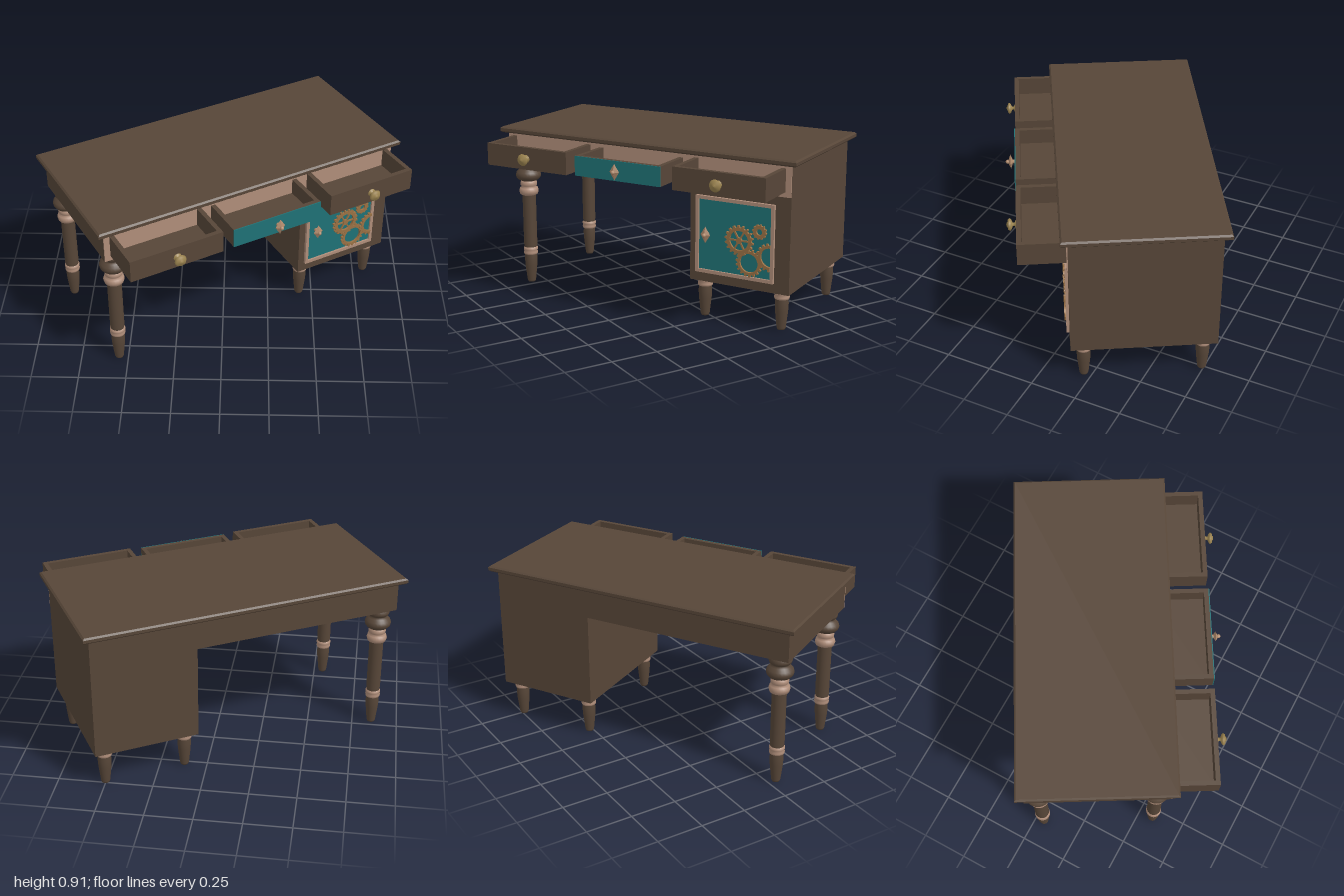
import * as THREE from 'three';

const mat = (name, color) => {
  const m = new THREE.MeshStandardMaterial({ color });
  m.name = name;
  return m;
};

export function createModel() {
  const wood = mat('dark wood', 0x574638);
  const trim = mat('rose trim', 0xb08e7a);
  const teal = mat('teal paint', 0x1f7276);
  const brass = mat('brass', 0x9c8450);
  const bronze = mat('bronze', 0x9a7145);
  const copper = mat('copper', 0xb08a6c);

  // The desk stands turned by 30 degrees; everything is built square inside it.
  const desk = new THREE.Group();
  desk.name = 'desk';
  desk.position.set(-0.025, 0, -0.078);
  desk.rotation.y = Math.PI / 6;

  const add = (parent, name, geo, material, x = 0, y = 0, z = 0) => {
    const m = new THREE.Mesh(geo, material);
    m.name = name;
    m.position.set(x, y, z);
    parent.add(m);
    return m;
  };
  // Box given by its limits on each axis
  const box = (parent, name, material, x0, x1, y0, y1, z0, z1) =>
    add(parent, name, new THREE.BoxGeometry(x1 - x0, y1 - y0, z1 - z0), material,
      (x0 + x1) / 2, (y0 + y1) / 2, (z0 + z1) / 2);
  const lathe = (pts) => new THREE.LatheGeometry(pts.map(p => new THREE.Vector2(...p)), 24);

  // Tabletop with a bevelled edge
  const hw = 0.879, hd = 0.402;
  const slab = new THREE.Shape([[-hw, -hd], [hw, -hd], [hw, hd], [-hw, hd]].map(p => new THREE.Vector2(...p)));
  const topGeo = new THREE.ExtrudeGeometry(slab, {
    depth: 0.016, bevelEnabled: true, bevelSize: 0.009, bevelThickness: 0.008, bevelSegments: 1,
  });
  topGeo.rotateX(-Math.PI / 2);
  add(desk, 'tabletop', topGeo, wood, 0, 0.89, 0);

  // Apron, cabinet and the trim behind the drawers
  box(desk, 'apron', wood, -0.852, 0.29, 0.72, 0.883, -0.375, 0.375);
  box(desk, 'cabinet', wood, 0.29, 0.852, 0.21, 0.883, -0.375, 0.375);
  box(desk, 'drawerSurround', trim, -0.852, 0.852, 0.72, 0.883, 0.375, 0.381);

  // Legs: the foot is shared, the tall legs add a turned shaft
  const foot = lathe([[0, 0], [0.02, 0], [0.024, 0.01], [0.034, 0.1], [0.036, 0.14], [0.033, 0.175]]);
  const ankle = lathe([[0.033, 0.165], [0.039, 0.168], [0.041, 0.178], [0.037, 0.186], [0.041, 0.194],
    [0.041, 0.204], [0.034, 0.212]]);
  const shaft = lathe([[0.034, 0.2], [0.038, 0.225], [0.038, 0.53]]);
  const rings = lathe([[0.037, 0.515], [0.05, 0.522], [0.055, 0.54], [0.05, 0.557], [0.039, 0.563],
    [0.046, 0.572], [0.047, 0.585], [0.043, 0.597], [0.036, 0.602]]);
  const bulb = lathe([[0.037, 0.598], [0.056, 0.606], [0.068, 0.62], [0.071, 0.634], [0.066, 0.65],
    [0.052, 0.664], [0.046, 0.67], [0.046, 0.677], [0.056, 0.684], [0.06, 0.697], [0.056, 0.71], [0.05, 0.722]]);
  const leg = (name, x, z, tall) => {
    const g = new THREE.Group();
    g.name = name;
    g.position.set(x, 0, z);
    add(g, 'foot', foot, wood);
    add(g, 'ankleRing', ankle, trim);
    if (tall) {
      add(g, 'shaft', shaft, wood);
      add(g, 'collarRings', rings, trim);
      add(g, 'bulb', bulb, wood);
    }
    desk.add(g);
  };
  for (const z of [-0.307, 0.307]) {
    leg('tableLeg', -0.782, z, true);
    leg('cabinetLeg', 0.346, z, false);
    leg('cabinetLeg', 0.786, z, false);
  }

  // Round pull and pointed pull, both facing +z
  const roundPull = lathe([[0.022, 0], [0.02, 0.006], [0.009, 0.01], [0.009, 0.02], [0.024, 0.026],
    [0.032, 0.034], [0.026, 0.043], [0.012, 0.046], [0.01, 0.05], [0, 0.052]]).rotateX(Math.PI / 2);
  const stem = new THREE.CylinderGeometry(0.008, 0.012, 0.03, 12).rotateX(Math.PI / 2);
  const diamond = new THREE.OctahedronGeometry(1).scale(0.028, 0.044, 0.016);
  const pointedPull = (name, x, y, z) => {
    const g = new THREE.Group();
    g.name = name;
    g.position.set(x, y, z);
    add(g, 'stem', stem, copper, 0, 0, 0.012);
    add(g, 'diamond', diamond, copper, 0, 0, 0.024);
    add(g, 'stud', new THREE.SphereGeometry(0.011, 12, 8), copper, 0, 0, 0.04);
    desk.add(g);
  };

  // Three open drawers
  const drawer = (name, x, y0, y1) => {
    const g = new THREE.Group();
    g.name = name;
    const a = x - 0.253, b = x + 0.253, t = 0.024, back = 0.33, front = 0.616;
    box(g, 'drawerFloor', wood, a + t, b - t, y0, y0 + 0.02, back, front - t);
    box(g, 'drawerSide', wood, a, a + t, y0, y1, back, front - t);
    box(g, 'drawerSide', wood, b - t, b, y0, y1, back, front - t);
    box(g, 'drawerFront', wood, a, b, y0, y1, front - t, front);
    desk.add(g);
  };
  drawer('leftDrawer', 0.568, 0.747, 0.867);
  drawer('rightDrawer', -0.568, 0.747, 0.867);
  drawer('middleDrawer', -0.004, 0.754, 0.858);
  box(desk, 'middleDrawerPanel', teal, -0.257, 0.249, 0.754, 0.858, 0.616, 0.621);
  for (const x of [-0.568, 0.568]) add(desk, 'roundPull', roundPull, brass, x, 0.806, 0.614);
  pointedPull('drawerPull', -0.004, 0.806, 0.619);

  // Cabinet door: teal panel in a trim frame
  const [l, r, b, t, w] = [0.327, 0.769, 0.262, 0.674, 0.018];
  box(desk, 'doorPanel', teal, l + w, r - w, b + w, t - w, 0.375, 0.38);
  box(desk, 'doorFrame', trim, l, r, b, b + w, 0.37, 0.39);
  box(desk, 'doorFrame', trim, l, r, t - w, t, 0.37, 0.39);
  box(desk, 'doorFrame', trim, l, l + w, b + w, t - w, 0.37, 0.39);
  box(desk, 'doorFrame', trim, r - w, r, b + w, t - w, 0.37, 0.39);
  pointedPull('doorPull', 0.392, 0.472, 0.38);

  // Gears on the door; a half gear covers only its left side
  const gear = (x, y, z, radius, inner, teeth, spokes, half = false) => {
    const g = new THREE.Group();
    g.name = 'gear';
    g.position.set(x, y, z);
    const start = half ? Math.PI / 2 : 0, sweep = half ? Math.PI : Math.PI * 2;
    const at = (rad, ang) => new THREE.Vector2(Math.cos(ang) * rad, Math.sin(ang) * rad);
    const pts = [];
    for (let i = 0; i < teeth; i++) {
      [[0, 0.86], [0.4, 0.86], [0.5, 1], [0.85, 1]].forEach(([f, k]) =>
        pts.push(at(radius * k, start + sweep * (i + f) / teeth)));
    }
    const hole = [];
    for (let i = 0; i <= 24; i++) hole.push(at(inner, start + sweep * (1 - i / 24)));
    const shape = new THREE.Shape(half ? pts.concat(hole) : pts);
    if (!half) shape.holes.push(new THREE.Path(hole.slice(0, 24)));
    add(g, 'gearRim', new THREE.ExtrudeGeometry(shape, { depth: 0.012, bevelEnabled: false }), bronze);
    for (let i = 0; i < spokes; i++) {
      const ang = Math.PI * 2 * i / spokes;
      const s = add(g, 'spoke', new THREE.BoxGeometry(inner, 0.008, 0.008), bronze,
        Math.cos(ang) * inner * 0.55, Math.sin(ang) * inner * 0.55, 0.006);
      s.rotation.z = ang;
    }
    if (spokes) add(g, 'hub', new THREE.CylinderGeometry(0.016, 0.016, 0.014, 16).rotateX(Math.PI / 2),
      bronze, 0, 0, 0.007);
    desk.add(g);
  };
  gear(0.578, 0.465, 0.383, 0.08, 0.052, 18, 6);
  gear(0.689, 0.525, 0.38, 0.04, 0.016, 12, 0);
  gear(0.634, 0.353, 0.38, 0.074, 0.05, 18, 0);
  gear(0.752, 0.4, 0.386, 0.075, 0.05, 9, 0, true);

  const model = new THREE.Group();
  model.name = 'writingDesk';
  model.add(desk);
  return model;
}
